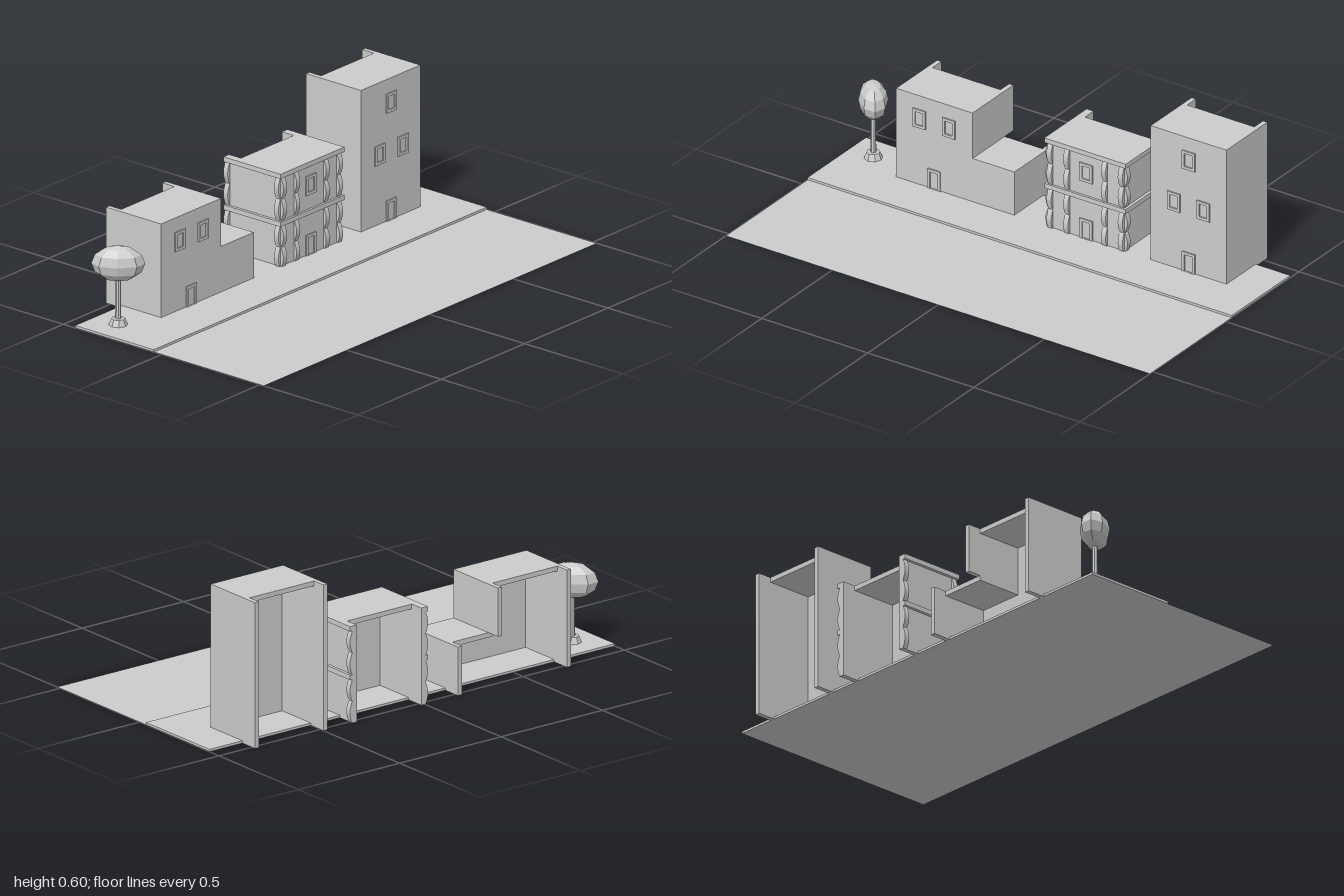
import * as THREE from 'three';

const mat = new THREE.MeshStandardMaterial({ color: 0xcccccc, flatShading: true, side: THREE.DoubleSide });
const FRONT = -0.24, BACK = -0.52, ROOF_BACK = -0.46, T = 0.02;

function add(parent, name, geometry, x = 0, y = 0, z = 0) {
  const mesh = new THREE.Mesh(geometry, mat);
  mesh.name = name;
  mesh.position.set(x, y, z);
  parent.add(mesh);
  return mesh;
}

// box given by its limits on each axis
function block(parent, name, x0, x1, y0, y1, z0, z1) {
  return add(parent, name, new THREE.BoxGeometry(x1 - x0, y1 - y0, z1 - z0),
    (x0 + x1) / 2, (y0 + y1) / 2, (z0 + z1) / 2);
}

function namedGroup(parent, name) {
  const g = new THREE.Group();
  g.name = name;
  parent.add(g);
  return g;
}

// raised surround on a facade, left open at the bottom for a door
function surround(parent, name, x, y0, y1, isDoor) {
  const w = 0.03, b = 0.012, shape = new THREE.Shape();
  shape.moveTo(-w, y0).lineTo(w, y0).lineTo(w, y1).lineTo(-w, y1).closePath();
  const inner = isDoor ? y0 + 0.001 : y0 + b;
  const hole = new THREE.Path();
  hole.moveTo(-w + b, inner).lineTo(-w + b, y1 - b).lineTo(w - b, y1 - b).lineTo(w - b, inner).closePath();
  shape.holes.push(hole);
  add(parent, name, new THREE.ExtrudeGeometry(shape, { depth: 0.006, bevelEnabled: false }), x, 0, FRONT);
}

const windowAt = (g, x, y) => surround(g, 'windowFrame', x, y - 0.04, y + 0.04, false);
const doorAt = (g, x) => surround(g, 'doorFrame', x, 0.01, 0.095, true);

// open-backed shell: front wall, two side walls and a shorter roof
function shell(parent, x0, x1, h) {
  block(parent, 'frontWall', x0, x1, 0, h, FRONT - T, FRONT);
  block(parent, 'sideWall', x0, x0 + T, 0, h, BACK, FRONT);
  block(parent, 'sideWall', x1 - T, x1, 0, h, BACK, FRONT);
  block(parent, 'roof', x0, x1, h - T, h, ROOF_BACK, FRONT);
}

// one storey of a pilaster with two swellings, facing the given angle about y
function pilaster(parent, x, y, z, angle) {
  const shape = new THREE.Shape(), h = 0.18, n = 16;
  shape.moveTo(-0.002, 0);
  for (let i = 0; i <= n; i++) {
    shape.lineTo(0.002 + 0.012 * Math.abs(Math.sin(2 * Math.PI * i / n)), h * i / n);
  }
  shape.lineTo(-0.002, h);
  const geo = new THREE.ExtrudeGeometry(shape, { depth: 0.022, bevelEnabled: false });
  geo.translate(0, 0, -0.011);
  add(parent, 'pilaster', geo, x, y, z).rotation.y = angle;
}

export function createModel() {
  const model = new THREE.Group();
  model.name = 'streetScene';

  // road and raised pavement
  const road = new THREE.PlaneGeometry(2, 0.56).rotateX(-Math.PI / 2);
  add(model, 'road', road, 0, 0, 0.24);
  block(model, 'pavement', -1, 1, 0, 0.01, -0.44, -0.04);

  // stepped house: tall part and low wing share one interior
  const stepped = namedGroup(model, 'steppedHouse');
  const a = -0.72, b = -0.36, c = -0.163;
  block(stepped, 'frontWall', a, b, 0, 0.4, FRONT - T, FRONT);
  block(stepped, 'wingFrontWall', b, c, 0, 0.2, FRONT - T, FRONT);
  block(stepped, 'sideWall', a, a + T, 0, 0.4, BACK, FRONT);
  block(stepped, 'upperSideWall', b - T, b, 0.2, 0.4, BACK, FRONT);
  block(stepped, 'wingSideWall', c - T, c, 0, 0.2, BACK, FRONT);
  block(stepped, 'roof', a, b, 0.38, 0.4, ROOF_BACK, FRONT);
  block(stepped, 'wingRoof', b - T, c, 0.18, 0.2, ROOF_BACK, FRONT);
  for (const s of [-1, 1]) windowAt(stepped, -0.54 + s * 0.07, 0.3);
  doorAt(stepped, -0.54);

  // ornate house with pilasters and bands
  const ornate = namedGroup(model, 'ornateHouse');
  const l = -0.002, r = 0.356, out = 0.013;
  shell(ornate, l, r, 0.4);
  for (const y of [0, 0.2]) {
    block(ornate, 'frontBand', l - out, r + out, y + 0.18, y + 0.2, FRONT, FRONT + 0.01);
    block(ornate, 'sideBand', l - out, l, y + 0.18, y + 0.2, BACK, FRONT);
    block(ornate, 'sideBand', r, r + out, y + 0.18, y + 0.2, BACK, FRONT);
    for (const x of [l + 0.011, 0.088, 0.266, r - 0.011]) pilaster(ornate, x, y, FRONT, -Math.PI / 2);
    for (const z of [FRONT - 0.011, BACK + 0.011]) {
      pilaster(ornate, r, y, z, 0);
      pilaster(ornate, l, y, z, Math.PI);
    }
  }
  windowAt(ornate, 0.177, 0.3);
  doorAt(ornate, 0.177);

  // tall house
  const tall = namedGroup(model, 'tallHouse');
  shell(tall, 0.48, 0.837, 0.6);
  windowAt(tall, 0.66, 0.5);
  for (const s of [-1, 1]) windowAt(tall, 0.66 + s * 0.07, 0.3);
  doorAt(tall, 0.66);

  // tree with an oval crown turned off the street line
  const tree = namedGroup(model, 'tree');
  tree.position.set(-0.883, 0, -0.32);
  add(tree, 'treeBase', new THREE.CylinderGeometry(0.027, 0.038, 0.028, 8), 0, 0.022, 0);
  add(tree, 'treeTrunk', new THREE.CylinderGeometry(0.011, 0.012, 0.2, 8), 0, 0.11, 0);
  const crown = add(tree, 'treeCrown', new THREE.SphereGeometry(1, 8, 6), 0, 0.265, 0);
  crown.scale.set(0.059, 0.073, 0.105);
  crown.rotation.y = 0.67;

  return model;
}
